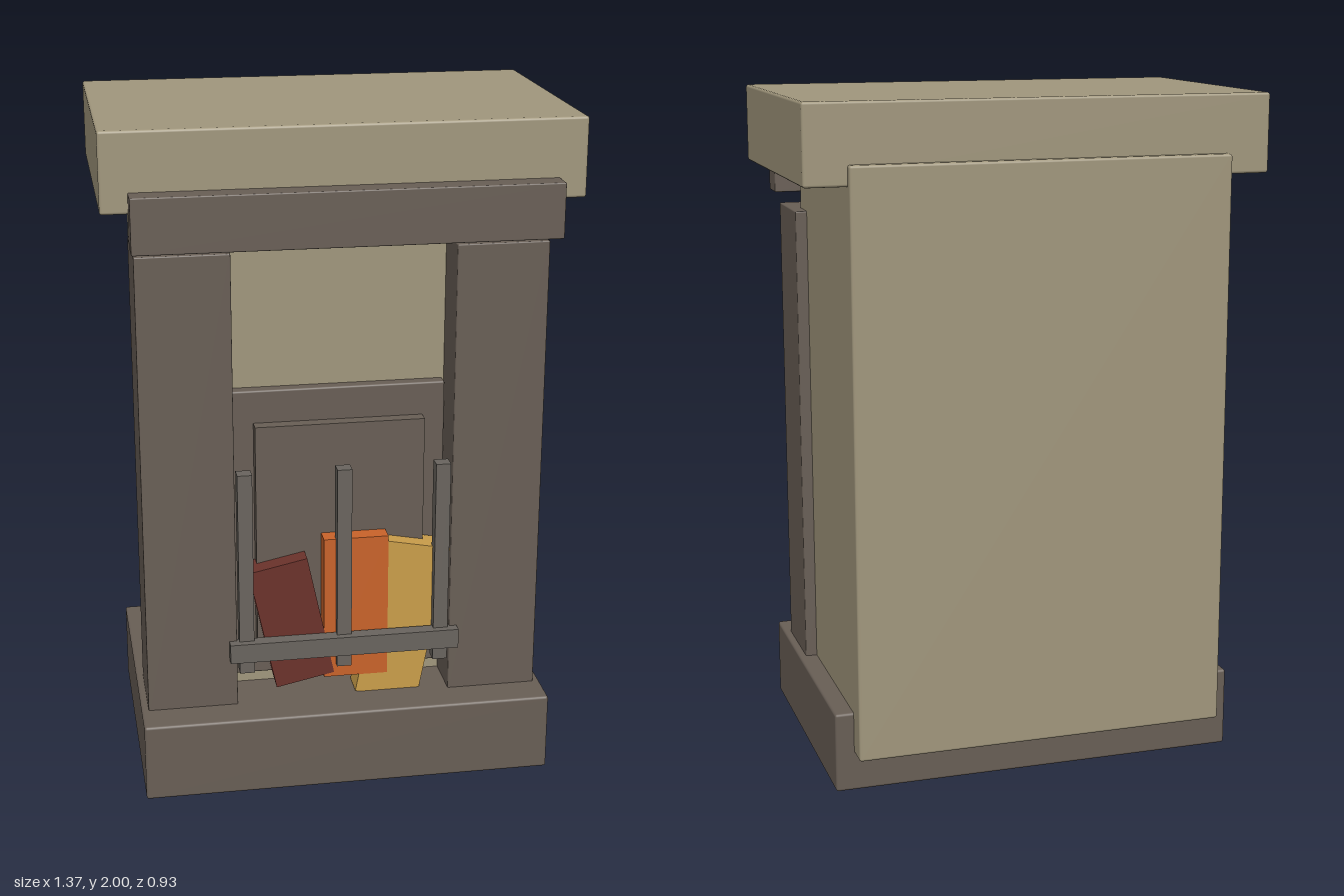
import * as THREE from 'three';
import { RoundedBoxGeometry } from 'three/addons/geometries/RoundedBoxGeometry.js';

const material = (name, color) => {
  const m = new THREE.MeshStandardMaterial({ color });
  m.name = name;
  return m;
};

export function createModel() {
  const group = new THREE.Group();
  const sandstone = material('sandstone', 0xa0967c);
  const darkStone = material('dark stone', 0x685e55);
  const iron = material('iron', 0x69645e);
  const ember = material('ember red', 0x6b322b);
  const orange = material('flame orange', 0xc8622a);
  const yellow = material('flame yellow', 0xc99d4a);

  // Box between two corners, with slightly softened edges when bevel > 0
  const block = (name, mat, [x0, y0, z0], [x1, y1, z1], bevel = 0, tilt = 0) => {
    const size = [x1 - x0, y1 - y0, z1 - z0];
    const geometry = bevel
      ? new RoundedBoxGeometry(...size, 2, bevel)
      : new THREE.BoxGeometry(...size);
    const mesh = new THREE.Mesh(geometry, mat);
    mesh.name = name;
    mesh.position.set((x0 + x1) / 2, (y0 + y1) / 2, (z0 + z1) / 2);
    mesh.rotation.z = tilt;
    group.add(mesh);
    return mesh;
  };

  // Masonry
  block('hearthBase', darkStone, [-0.615, 0, -0.39], [0.615, 0.24, 0.465], 0.008);
  block('chimneyBody', sandstone, [-0.56, 0.115, -0.46], [0.56, 1.83, 0.21], 0.008);
  block('topSlab', sandstone, [-0.683, 1.77, -0.435], [0.683, 2, 0.392], 0.008);
  block('mantelBeam', darkStone, [-0.605, 1.67, 0.37], [0.605, 1.83, 0.459], 0.004);
  for (const side of [-1, 1]) {
    const pillar = block('pillar', darkStone, [-0.135, 0.235, 0.115], [0.135, 1.64, 0.357], 0.004);
    pillar.position.x = side * 0.459;
  }

  // Thin stepped facing behind the right pillar
  const facing = new THREE.Shape([
    [-0.115, 0.24], [0.05, 0.24], [0.05, 0.92], [0.03, 0.94], [0.03, 1.35], [-0.02, 1.41], [-0.115, 1.41],
  ].map(([u, v]) => new THREE.Vector2(u, v)));
  const plate = new THREE.Mesh(new THREE.ExtrudeGeometry(facing, { depth: 0.007, bevelEnabled: false }), darkStone);
  plate.name = 'sideFacing';
  plate.rotation.y = Math.PI / 2;
  plate.position.x = -0.566;
  group.add(plate);

  // Firebox surround and its raised panel
  block('fireboxSurround', darkStone, [-0.32, 0.285, 0.2], [0.32, 1.197, 0.245], 0.006);
  block('fireboxPanel', darkStone, [-0.253, 0.355, 0.24], [0.253, 1.097, 0.285]);

  // Flames
  block('emberFlame', ember, [-0.246, 0.292, 0.25], [-0.066, 0.682, 0.342], 0, 0.21);
  block('orangeFlame', orange, [-0.058, 0.3, 0.25], [0.137, 0.752, 0.34]);
  block('yellowFlame', yellow, [0.085, 0.22, 0.25], [0.28, 0.72, 0.337], 0, -0.19);

  // Iron grate
  for (const x of [-0.295, 0, 0.295]) {
    block('grateUpright', iron, [x - 0.022, 0.345, 0.322], [x + 0.022, 0.98, 0.365]);
  }
  block('grateCrossbar', iron, [-0.347, 0.39, 0.345], [0.347, 0.45, 0.387]);

  return group;
}
